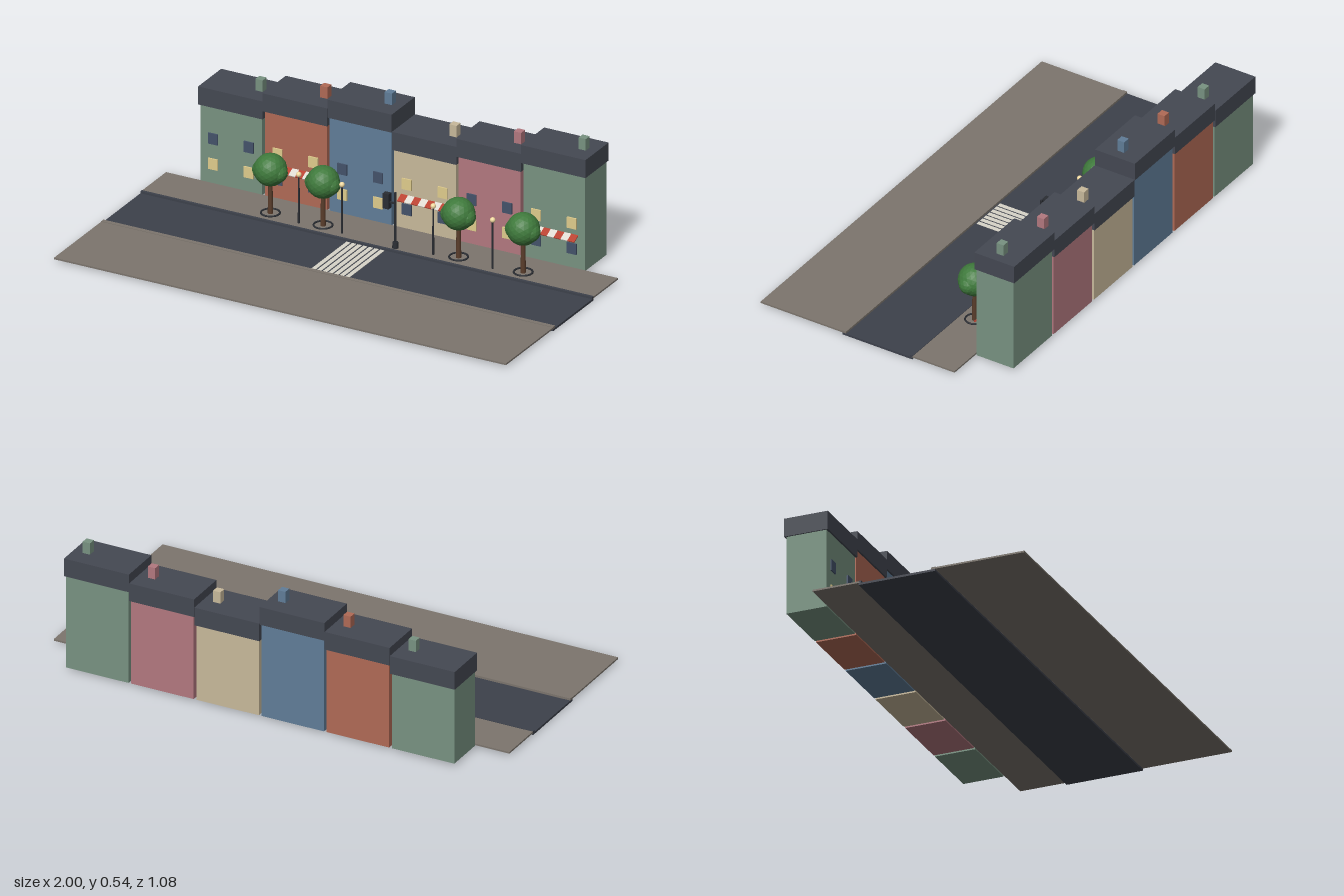
import * as THREE from 'three';

const mat = (color, opts = {}) => new THREE.MeshStandardMaterial({ color, ...opts });
const M = {
  road: mat(0x3d414b), pavement: mat(0x7c756d), stripe: mat(0xd8d4c8), roof: mat(0x444852),
  dark: mat(0x2a2d33), glassDark: mat(0x44526a), glassLit: mat(0xe0cc8c), lamp: mat(0xf0d9a0),
  red: mat(0xb8402f), white: mat(0xdedad2), trunk: mat(0x5a3d2b),
  leaf: mat(0x3f7a3c, { flatShading: true }),
};

function add(parent, name, geometry, material, x = 0, y = 0, z = 0) {
  const mesh = new THREE.Mesh(geometry, material);
  mesh.name = name;
  mesh.position.set(x, y, z);
  parent.add(mesh);
  return mesh;
}

// Box given by its extents along each axis
function box(parent, name, material, x0, x1, y0, y1, z0, z1) {
  return add(parent, name, new THREE.BoxGeometry(x1 - x0, y1 - y0, z1 - z0), material,
    (x0 + x1) / 2, (y0 + y1) / 2, (z0 + z1) / 2);
}

function group(parent, name, x = 0, y = 0, z = 0) {
  const g = new THREE.Group();
  g.name = name;
  g.position.set(x, y, z);
  parent.add(g);
  return g;
}

const GROUND = 0.016;

function addStreet(parent) {
  const g = group(parent, 'street');
  box(g, 'road', M.road, -1, 1, 0, 0.009, -0.16, 0.163);
  box(g, 'rearPavement', M.pavement, -1, 1, 0.009, GROUND, -0.355, -0.156);
  box(g, 'frontPavement', M.pavement, -1, 1, 0.009, GROUND, 0.155, 0.54);
  box(g, 'rearKerb', M.road, -1, 1, 0.0085, 0.018, -0.162, -0.15);
  box(g, 'frontKerb', M.pavement, -1, 1, 0.0085, 0.018, 0.146, 0.164);
  // Zebra crossing
  for (let i = 0; i < 7; i++) {
    const x = -0.0025 + (i - 3) * 0.025;
    box(g, 'crossingStripe', M.stripe, x - 0.0092, x + 0.0092, 0.008, 0.0105, -0.148, 0.14);
  }
}

function addHouse(parent, x, color, top, odd) {
  const g = group(parent, 'house', x);
  const wall = mat(color);
  const eaves = top - 0.077;
  box(g, 'walls', wall, -0.137, 0.137, 0.01, eaves, -0.531, -0.361);
  box(g, 'roof', M.roof, -0.1425, 0.1425, eaves, top, -0.538, -0.3535);
  box(g, 'chimney', wall, 0.069, 0.101, top - 0.01, top + 0.049, -0.462, -0.43);
  // Two rows of windows, one row lit
  for (const side of [-1, 1]) {
    [0.095, 0.203].forEach((y, row) => {
      const lit = (row === 1) === odd;
      box(g, 'window', lit ? M.glassLit : M.glassDark,
        side * 0.079 - 0.021, side * 0.079 + 0.021, y - 0.023, y + 0.023, -0.364, -0.355);
    });
  }
  if (odd) addAwning(g);
}

// Sloping striped awning over the ground floor
function addAwning(parent) {
  const g = group(parent, 'awning', 0, 0.146, -0.345);
  g.rotation.x = Math.atan2(0.016, 0.032);
  const n = 7, w = 0.212 / n;
  for (let i = 0; i < n; i++) {
    add(g, 'awningStripe', new THREE.BoxGeometry(w, 0.004, 0.037),
      i % 2 ? M.white : M.red, (i - (n - 1) / 2) * w, 0, 0);
  }
}

function addTree(parent, x) {
  const g = group(parent, 'tree', x, GROUND, -0.223);
  add(g, 'trunk', new THREE.CylinderGeometry(0.008, 0.011, 0.15, 10), M.trunk, 0, 0.075);
  const ring = add(g, 'treeRing', new THREE.TorusGeometry(0.037, 0.004, 6, 24), M.dark, 0, 0.002);
  ring.rotation.x = Math.PI / 2;
  add(g, 'crown', new THREE.IcosahedronGeometry(0.066, 3), M.leaf, 0, 0.186);
  // Fuller foliage on both sides
  for (const side of [-1, 1]) {
    add(g, 'foliage', new THREE.IcosahedronGeometry(0.04, 2), M.leaf, side * 0.034, 0.181, 0.004);
  }
}

function addLamp(parent, x) {
  const g = group(parent, 'streetLamp', x, GROUND, -0.197);
  add(g, 'lampPost', new THREE.CylinderGeometry(0.0035, 0.0045, 0.206, 8), M.dark, 0, 0.103);
  add(g, 'lampGlobe', new THREE.SphereGeometry(0.011, 16, 12), M.lamp, 0, 0.207);
}

function addTrafficSignal(parent) {
  const g = group(parent, 'trafficSignal', 0.112, GROUND, -0.18);
  add(g, 'signalBase', new THREE.CylinderGeometry(0.011, 0.013, 0.025, 12), M.dark, 0, 0.0125);
  add(g, 'signalPost', new THREE.CylinderGeometry(0.005, 0.005, 0.236, 10), M.dark, 0, 0.118);
  box(g, 'signalArm', M.dark, -0.036, 0, 0.186, 0.193, -0.003, 0.003);
  box(g, 'signalHead', M.dark, -0.05, -0.024, 0.162, 0.226, -0.011, 0.011);
}

export function createModel() {
  const model = new THREE.Group();
  model.name = 'streetScene';
  addStreet(model);

  // Terrace of six houses in three repeating heights
  const colors = [0x789281, 0xb06a56, 0x607d98, 0xc8b99b, 0xb2787f, 0x789281];
  const tops = [0.415, 0.45, 0.488];
  colors.forEach((c, i) => addHouse(model, (i - 2.5) * 0.286, c, tops[i % 3], i % 2 === 1));

  for (const x of [-0.465, -0.232, 0.368, 0.654]) addTree(model, x);
  for (const x of [-0.325, -0.134, 0.27, 0.533]) addLamp(model, x);
  addTrafficSignal(model);
  return model;
}
